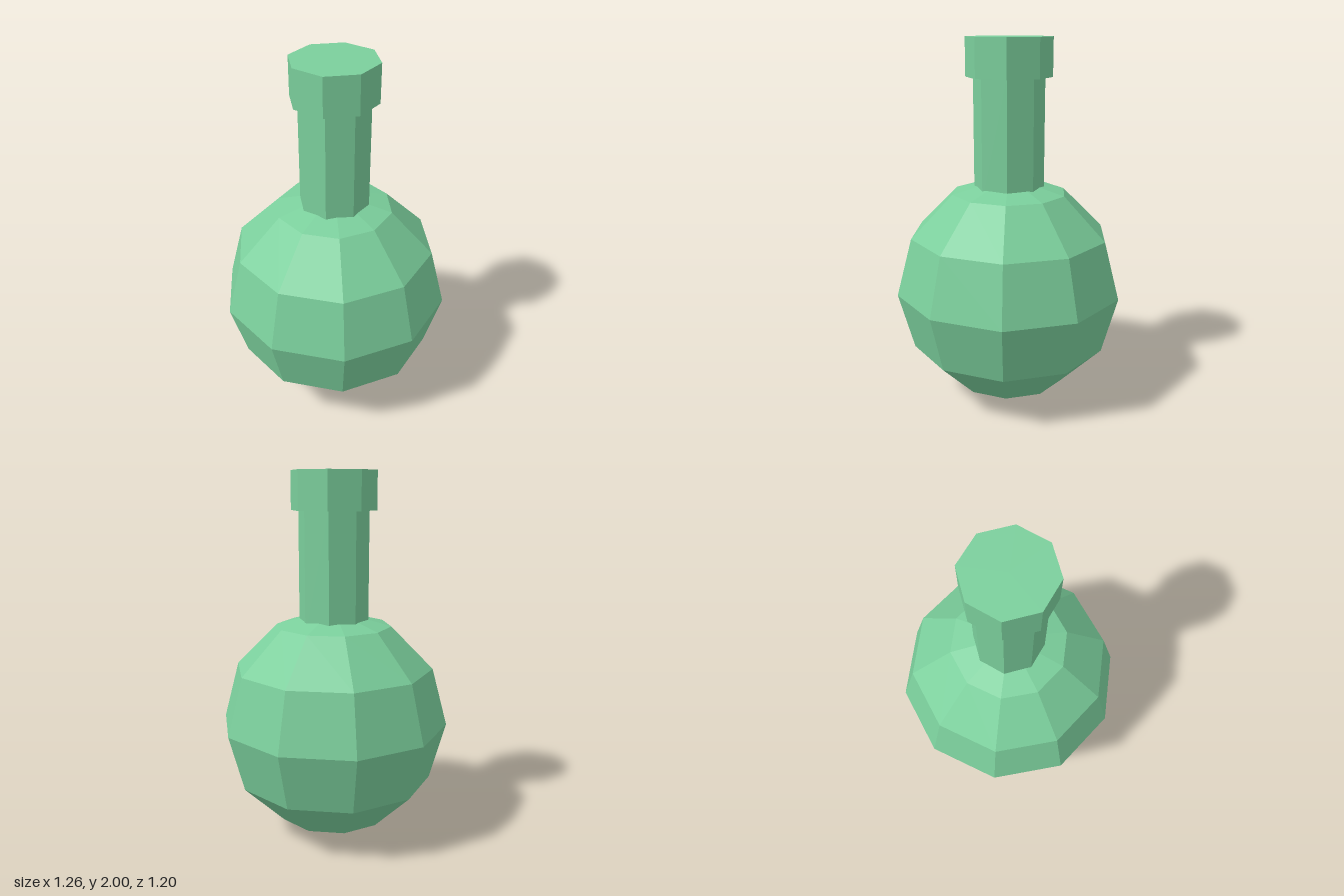
import * as THREE from 'three';

export function createModel() {
  const model = new THREE.Group();
  model.name = 'roundFlask';

  const green = new THREE.MeshStandardMaterial({ color: 0x7bcf9c, flatShading: true });
  green.name = 'glass green';

  const add = (name, geometry, y) => {
    const mesh = new THREE.Mesh(geometry, green);
    mesh.name = name;
    mesh.position.y = y;
    model.add(mesh);
  };

  // Faceted round body
  const radius = 0.63;
  add('body', new THREE.SphereGeometry(radius, 10, 6), 0.633);

  // Octagonal neck, sunk slightly into the body
  const neckBottom = 1.15, neckTop = 1.8;
  add('neck', new THREE.CylinderGeometry(0.19, 0.19, neckTop - neckBottom, 8), (neckBottom + neckTop) / 2);

  // Wider octagonal rim closing the neck
  add('rim', new THREE.CylinderGeometry(0.23, 0.23, 0.205, 8), 1.8975);

  return model;
}
